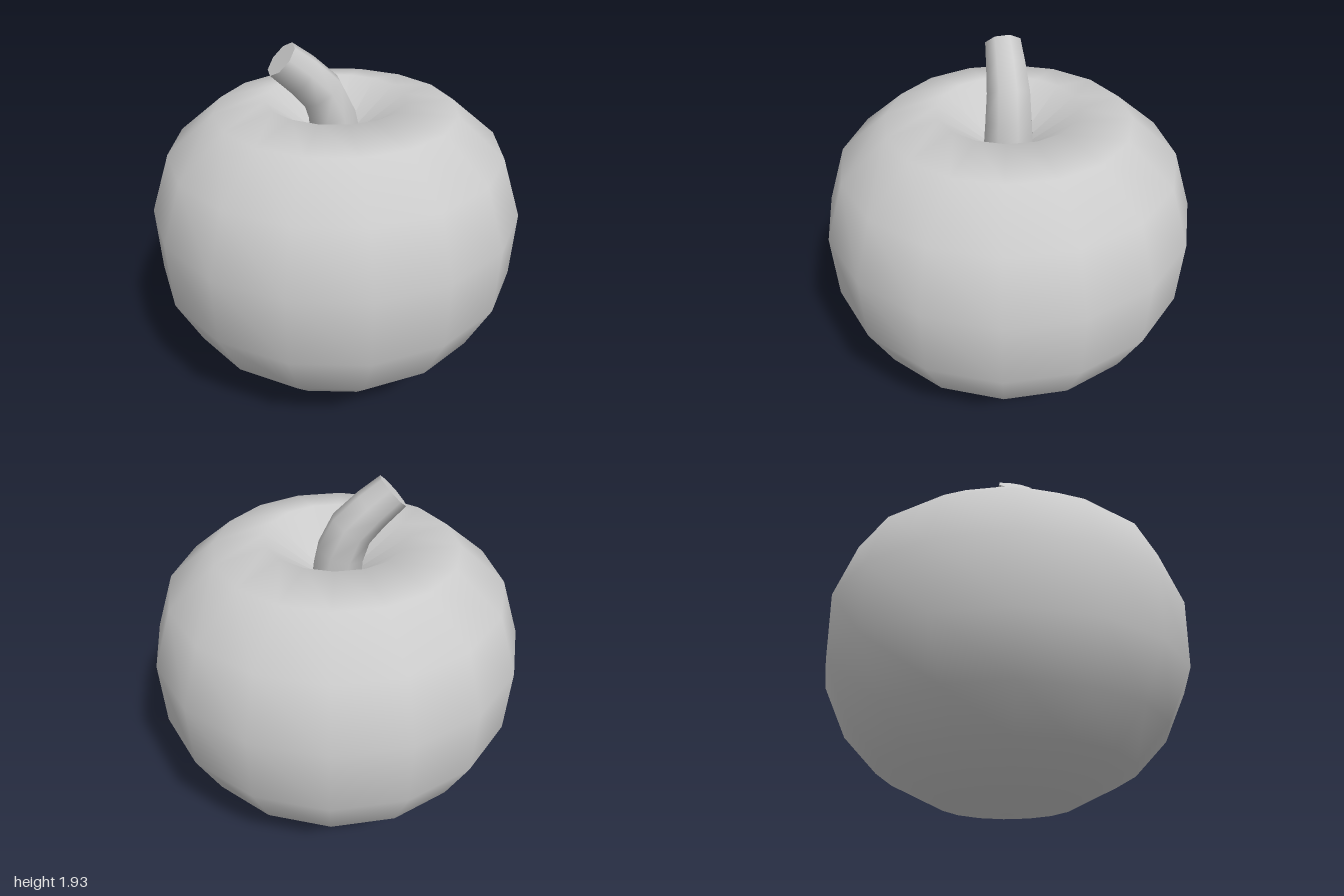
import * as THREE from 'three';

const material = new THREE.MeshStandardMaterial({ color: 0xcccccc });

// Round body with a sunken top
function makeBody() {
  const profile = [
    [0, 0], [0.36, 0.05], [0.68, 0.21], [0.86, 0.4], [0.99, 0.68], [1, 1.05],
    [0.89, 1.37], [0.64, 1.58], [0.37, 1.63], [0, 1.35],
  ].map(([r, y]) => new THREE.Vector2(r, y));
  const body = new THREE.Mesh(new THREE.LatheGeometry(profile, 16), material);
  body.name = 'body';
  return body;
}

// Bent, tapering eight-sided stem with a flat cut end
function makeStem() {
  const sides = 8, rings = 4;
  const path = new THREE.CatmullRomCurve3([
    new THREE.Vector3(0, 1.4, 0),
    new THREE.Vector3(-0.015, 1.52, 0.005),
    new THREE.Vector3(-0.07, 1.67, 0.03),
    new THREE.Vector3(-0.245, 1.86, 0.14),
  ]);
  const tube = new THREE.TubeGeometry(path, rings, 1, sides);
  const pos = tube.attributes.position;
  const v = new THREE.Vector3();
  const endRing = [];
  for (let i = 0; i <= rings; i++) {
    const t = i / rings;
    const centre = path.getPointAt(t);
    const radius = 0.14 - 0.04 * t;
    for (let j = 0; j <= sides; j++) {
      const k = i * (sides + 1) + j;
      v.fromBufferAttribute(pos, k).sub(centre).multiplyScalar(radius).add(centre);
      pos.setXYZ(k, v.x, v.y, v.z);
      if (i === rings) endRing.push(v.clone());
    }
  }
  const side = new THREE.Mesh(tube, material);
  side.name = 'stemSide';

  // Cut end: a fan facing along the path
  const tip = path.getPointAt(1);
  const out = path.getTangentAt(1);
  const fan = [];
  for (let j = 0; j < sides; j++) {
    const a = endRing[j], b = endRing[j + 1];
    const facing = a.clone().sub(tip).cross(b.clone().sub(tip)).dot(out) > 0;
    fan.push(tip, ...(facing ? [a, b] : [b, a]));
  }
  const capGeometry = new THREE.BufferGeometry().setFromPoints(fan);
  capGeometry.computeVertexNormals();
  const cap = new THREE.Mesh(capGeometry, material);
  cap.name = 'stemCutEnd';

  const stem = new THREE.Group();
  stem.name = 'stem';
  stem.add(side, cap);
  return stem;
}

export function createModel() {
  const model = new THREE.Group();
  model.name = 'pumpkin';
  model.add(makeBody(), makeStem());
  return model;
}
